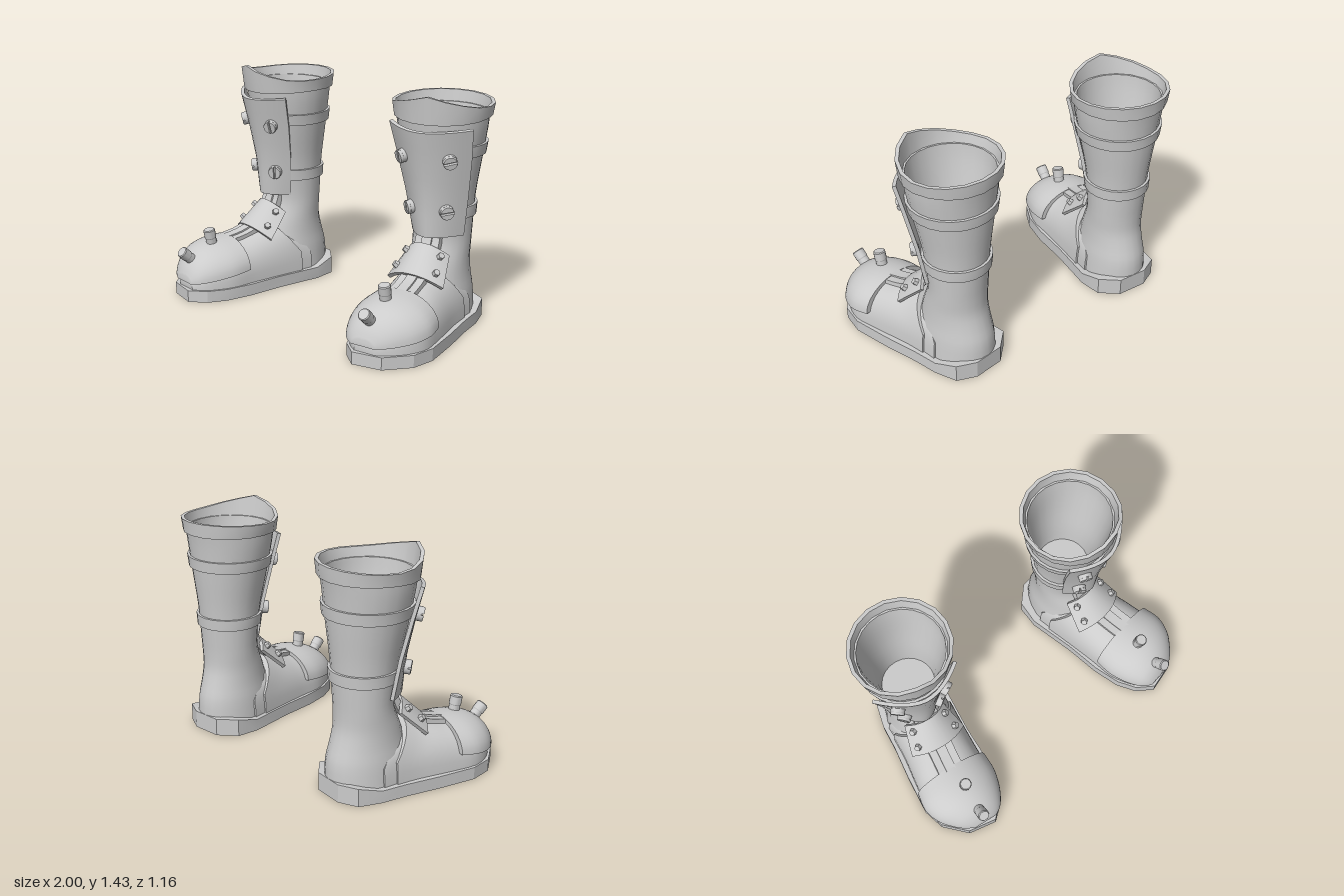
import * as THREE from 'three';
import { toCreasedNormals } from 'three/addons/utils/BufferGeometryUtils.js';

const V = (x, y, z) => new THREE.Vector3(x, y, z);
const grey = new THREE.MeshStandardMaterial({ color: 0xcccccc });
const UP = V(0, 1, 0);

// Skin a row of equal-length point loops; ends are capped unless the row is itself a loop.
function loft(rows, loop = false, crease = 0.6) {
  const n = rows[0].length, m = rows.length, idx = [];
  const quad = (a, b, c, d) => idx.push(a, b, c, a, c, d);
  for (let r = 0; r < (loop ? m : m - 1); r++)
    for (let i = 0; i < n; i++) {
      const s = ((r + 1) % m) * n, j = (i + 1) % n;
      quad(r * n + i, r * n + j, s + j, s + i);
    }
  if (!loop)
    for (let i = 0; i < n / 2 - 1; i++) {
      const e = (m - 1) * n;
      quad(i + 1, i, n - 1 - i, n - 2 - i);
      quad(e + i, e + i + 1, e + n - 2 - i, e + n - 1 - i);
    }
  // turn the faces outward if the enclosed volume is negative
  const p = rows.flat();
  let vol = 0;
  for (let k = 0; k < idx.length; k += 3)
    vol += p[idx[k]].dot(V(0, 0, 0).crossVectors(p[idx[k + 1]], p[idx[k + 2]]));
  if (vol < 0) idx.reverse();
  const g = new THREE.BufferGeometry().setFromPoints(p);
  g.setIndex(idx);
  return toCreasedNormals(g, crease);
}

// Catmull-Rom refinement of a table of numbers
function smooth(rows, sub) {
  const out = [], last = rows.length - 1;
  for (let r = 0; r < last; r++)
    for (let k = 0; k < sub; k++) {
      const t = k / sub, [a, b, c, d] = [rows[Math.max(0, r - 1)], rows[r], rows[r + 1], rows[Math.min(last, r + 2)]];
      out.push(b.map((_, i) => b[i] + 0.5 * t * (c[i] - a[i] + t * (2 * a[i] - 5 * b[i] + 4 * c[i] - d[i]
        + t * (3 * (b[i] - c[i]) + d[i] - a[i])))));
    }
  return [...out, rows[last]];
}

// Arched foot slices: position, centre, half width, top, bottom, backward lean
function arches(rows, sub, power = 0.82) {
  return loft(smooth(rows, sub).map(([z, c, w, h, bottom, lean]) => Array.from({ length: 20 }, (_, i) => {
    const a = Math.PI * i / 19, co = Math.cos(a);
    const y = bottom + (h - bottom) * Math.pow(Math.max(0, Math.sin(a)), power);
    return V(c + w * Math.sign(co) * Math.pow(Math.abs(co), power), y, z + lean * Math.max(0, y - 0.2));
  })));
}

// Shaft table: height, half width, back, front
const SHAFT = smooth([
  [0.07, 0.2, -0.268, 0.25], [0.2, 0.192, -0.262, 0.25], [0.3, 0.18, -0.235, 0.22], [0.4, 0.175, -0.21, 0.185],
  [0.5, 0.176, -0.207, 0.145], [0.6, 0.18, -0.212, 0.14], [0.8, 0.195, -0.225, 0.17],
  [1.0, 0.23, -0.245, 0.215], [1.2, 0.265, -0.262, 0.25], [1.3, 0.275, -0.275, 0.265]], 3);
function shaftAt(y) {
  const k = Math.min(SHAFT.length - 2, Math.max(0, SHAFT.findIndex(r => r[0] > y) - 1));
  const a = SHAFT[k], b = SHAFT[k + 1], t = (y - a[0]) / (b[0] - a[0]);
  return a.map((v, i) => v + (b[i] - v) * t);
}
function shaftPoint([y, w, back, front], a, off = 0, py = y) {
  return V(Math.sin(a) * (w + off), py, (back + front) / 2 + Math.cos(a) * ((front - back) / 2 + off));
}
const around = (n, f) => Array.from({ length: n }, (_, i) => f(2 * Math.PI * i / n));

// Shin plate surface: t runs across, v runs down
const PLATE = [[1.235, 0.263, 0.31, 0.13], [1.05, 0.236, 0.268, 0.133], [0.82, 0.198, 0.226, 0.135], [0.58, 0.162, 0.207, 0.143]];
function platePoint(t, v) {
  const k = Math.min(2, Math.floor(v)), f = v - k;
  const [y, w, z, sag] = PLATE[k].map((a, i) => a + (PLATE[k + 1][i] - a) * f);
  return V(0.025 + w * t, y + (1 - v / 3) * 0.02 * (t * t - 0.5), z - sag * Math.pow(Math.abs(t), 1.8) - 0.023 * t);
}
// Instep guard surface, same parameters
function guardPoint(t, v) {
  const drop = 0.095 * Math.pow(Math.abs(t), 2.2);
  return V(0.005 + t * (0.14 + 0.05 * v), 0.54 - 0.145 * v - 0.73 * drop, 0.195 + 0.155 * v - 0.68 * drop);
}
function normalAt(f, t, v) {
  const e = 0.02, n = f(t + e, v).sub(f(t - e, v)).cross(f(t, v - e).sub(f(t, v + e)));
  return n.normalize();
}
// Thick curved sheet from a surface function
function sheet(f, vs, thick, n) {
  return loft(vs.map(v => {
    const ts = Array.from({ length: n }, (_, i) => -1 + 2 * i / (n - 1));
    const outer = ts.map(t => f(t, v));
    const inner = ts.map(t => f(t, v).addScaledVector(normalAt(f, t, Math.min(Math.max(v, 0.03), vs.at(-1) - 0.03)), -thick));
    return [...outer, ...inner.reverse()];
  }));
}

// Strip running up the instep
function strip(half, lift) {
  const path = smooth([[0.5, 0.325], [0.38, 0.347], [0.29, 0.383], [0.22, 0.428], [0.165, 0.495], [0.138, 0.56], [0.135, 0.605]], 3);
  return loft(path.map(([z, y]) => {
    const c = Math.max(0.005, z * 0.1 - 0.015);
    return [[-half, -0.03], [-half, lift], [half, lift], [half, -0.03]].map(([x, o]) => V(c + x, y + o * 0.7, z + o * 0.7));
  }));
}

function buildBoot() {
  const boot = new THREE.Group();
  const add = (name, geo, parent = boot) => {
    const m = new THREE.Mesh(geo, grey);
    m.name = name;
    parent.add(m);
    return m;
  };
  const place = (name, pos, dir) => {
    const g = new THREE.Group();
    g.name = name;
    g.position.copy(pos);
    g.quaternion.setFromUnitVectors(UP, dir.clone().normalize());
    boot.add(g);
    return g;
  };

  // sole, thicker under the heel
  const outline = [[0.09, -0.265], [0.2, -0.2], [0.235, -0.06], [0.245, 0.1], [0.272, 0.32], [0.29, 0.56], [0.25, 0.7], [0.12, 0.83],
    [-0.06, 0.855], [-0.15, 0.77], [-0.2, 0.65], [-0.222, 0.48], [-0.222, 0.25], [-0.243, -0.05], [-0.215, -0.19], [-0.1, -0.272]];
  add('sole', loft([outline.map(([x, z]) => V(x, 0, z)), outline.map(([x, z]) => V(x, z < -0.1 ? 0.11 : 0.075, z))], false, 0.3));

  // hollow shaft with its inner wall and floor
  const inner = SHAFT.filter(r => r[0] > 0.62).reverse();
  add('shaft', loft([...SHAFT.map(r => around(24, a => shaftPoint(r, a))), ...inner.map(r => around(24, a => shaftPoint(r, a, -0.02)))]));

  // straps round the calf
  for (const [lo, hi] of [[1.06, 1.13], [0.68, 0.75]])
    add('calfStrap', loft(around(24, a => [[lo, -0.01], [lo, 0.016], [hi, 0.016], [hi, -0.01]]
      .map(([y, o]) => shaftPoint(shaftAt(y), a, o))), true));

  // flared collar rising to a point in front
  add('collar', loft(around(18, b => {
    const a = b + 0.2, away = Math.min(b, 2 * Math.PI - b), f = Math.max(0, Math.cos(b));
    const top = 1.355 + 0.075 * Math.max(0, 1 - away / 1.25) ** 1.3 + 0.015 * Math.max(0, -Math.cos(b));
    const low = 1.285 - 0.02 * f, base = [0, 0.272, -0.275, 0.262], rim = [0, 0.303, -0.3, 0.285 + 0.012 * f];
    return [shaftPoint(base, a, -0.01, low), shaftPoint(base, a, 0.018, low), shaftPoint(rim, a, 0, top), shaftPoint(rim, a, -0.022, top)];
  }), true));

  // foot, side panel and toe cap
  add('sidePanel', arches([[-0.025, 0, 0.21, 0.35, 0.07, 1.2], [0.06, 0, 0.207, 0.37, 0.07, 0.9], [0.15, 0, 0.205, 0.36, 0.07, 0.7]], 2));
  add('vamp', arches([[0.06, 0, 0.219, 0.4, 0.07, 0.75], [0.2, 0.008, 0.218, 0.365, 0.07, 0.6], [0.35, 0.022, 0.225, 0.342, 0.07, 0.2],
    [0.45, 0.03, 0.23, 0.325, 0.07, 0], [0.585, 0.035, 0.235, 0.305, 0.07, 0], [0.69, 0.03, 0.2, 0.27, 0.07, 0],
    [0.77, 0.015, 0.145, 0.21, 0.07, 0], [0.825, 0.005, 0.07, 0.13, 0.07, 0]], 3));
  add('toeCap', arches([[0.475, 0.032, 0.247, 0.348, 0.172, 0], [0.585, 0.038, 0.255, 0.34, 0.16, 0], [0.69, 0.033, 0.225, 0.315, 0.145, 0],
    [0.77, 0.018, 0.172, 0.268, 0.132, 0], [0.815, 0.008, 0.125, 0.215, 0.124, 0], [0.842, 0, 0.075, 0.16, 0.118, 0]], 4, 1));

  // tongue with a raised middle strip
  add('tongue', strip(0.08, 0.012));
  add('tongueRidge', strip(0.032, 0.024));

  // armour plates
  add('shinPlate', sheet(platePoint, [0, 0.5, 1, 1.5, 2, 2.5, 3], 0.022, 13));
  add('instepGuard', sheet(guardPoint, [0, 0.5, 1], 0.024, 11));

  // slotted screws on the shin plate
  const R = 0.042, cut = 0.17;
  const half = new THREE.Shape().absarc(0, 0, R * 0.92, cut, Math.PI - cut, false);
  const halfHead = new THREE.ExtrudeGeometry(half, { depth: 0.008, bevelEnabled: true, bevelSize: 0.003, bevelThickness: 0.006, bevelSegments: 1, curveSegments: 10 });
  for (const [t, v] of [[0.6, 0.93], [-0.62, 0.93], [0.56, 2.31], [-0.62, 2.31]]) {
    const g = place('plateScrew', platePoint(t, v), normalAt(platePoint, t, v));
    add('screwBase', new THREE.CylinderGeometry(R, R, 0.03, 20), g).position.y = 0.005;
    for (const s of [0, Math.PI]) {
      const h = add('screwHead', halfHead, g);
      h.rotation.set(-Math.PI / 2, 0, s + 0.9);
      h.position.y = 0.022;
    }
  }
  // hex bolts on the instep guard
  for (const t of [-0.74, 0.74])
    for (const v of [0.2, 0.72]) {
      const g = place('guardBolt', guardPoint(t, v), normalAt(guardPoint, t, v));
      add('boltHead', toCreasedNormals(new THREE.CylinderGeometry(0.019, 0.025, 0.036, 6), 0.3), g).position.y = 0.006;
    }
  // studs on the toe cap
  for (const [pos, dir] of [[V(0.012, 0.312, 0.615), V(0, 0.98, 0.2)], [V(0.012, 0.24, 0.765), V(0, 0.68, 0.74)]]) {
    const g = place('toeStud', pos, dir);
    const profile = [[0, -0.03], [0.034, -0.03], [0.034, 0.05], [0.037, 0.055], [0.037, 0.104], [0.032, 0.11], [0, 0.11]];
    add('stud', toCreasedNormals(new THREE.LatheGeometry(profile.map(p => new THREE.Vector2(...p)), 14), 0.5), g);
  }
  boot.position.set(0.63, 0, -0.28);
  boot.rotation.y = 0.14;
  return boot;
}

// Mirrored copy with the face order turned round
function mirrored(source) {
  const out = new THREE.Group();
  source.updateMatrixWorld(true);
  source.traverse(o => {
    if (!o.isMesh) return;
    let g = o.geometry.clone().applyMatrix4(o.matrixWorld);
    if (g.index) g = g.toNonIndexed();
    for (const key of ['position', 'normal']) {
      const a = g.attributes[key].array;
      for (let i = 0; i < a.length; i += 9)
        for (let k = 0; k < 3; k++) [a[i + k], a[i + 6 + k]] = [a[i + 6 + k], a[i + k]];
      for (let i = 0; i < a.length; i += 3) a[i] *= -1;
    }
    const m = new THREE.Mesh(g, grey);
    m.name = o.name;
    out.add(m);
  });
  return out;
}

export function createModel() {
  const model = new THREE.Group();
  model.name = 'armouredBoots';
  const left = buildBoot(), right = mirrored(left);
  left.name = 'leftBoot';
  right.name = 'rightBoot';
  model.add(left, right);
  return model;
}
